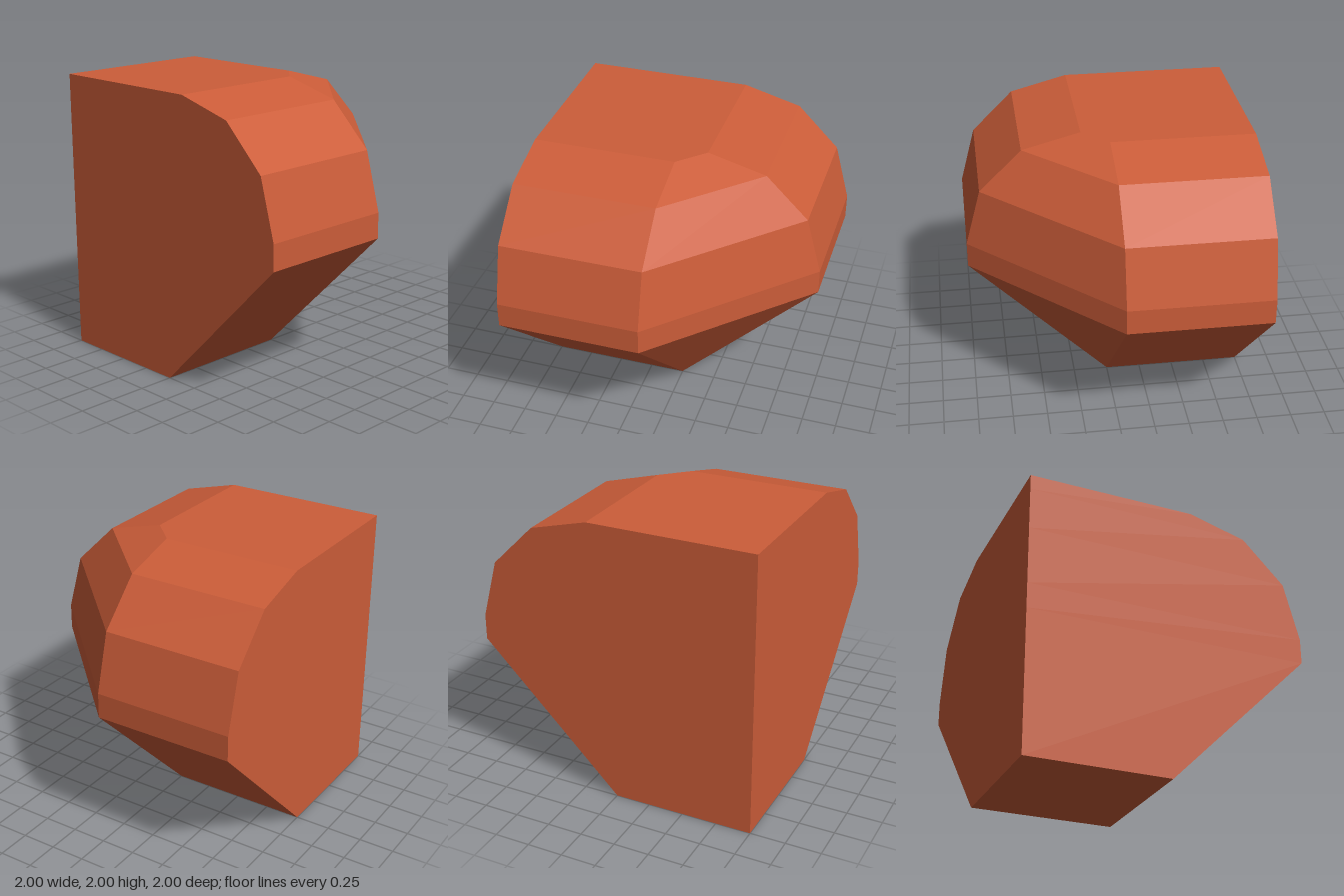
import * as THREE from 'three';

// Horizontal cross-section: reach r to the left side and the back, with a 45 degree cut corner
function section([r, y]) {
  return [[-1, 1], [r, 1], [r, 0], [0, -r], [-1, -r]].map(([x, z]) => new THREE.Vector3(x, y, z));
}

// Stack the sections into a closed, faceted solid
function stackedSolid(profile) {
  const rings = profile.map(section);
  const points = [];
  const tri = (a, b, c) => {
    const area = b.clone().sub(a).cross(c.clone().sub(a)).length();
    if (area > 1e-6) points.push(a, b, c);
  };
  for (let k = 0; k < rings.length - 1; k++) {
    const low = rings[k], high = rings[k + 1];
    for (let i = 0; i < low.length; i++) {
      const j = (i + 1) % low.length;
      tri(low[i], low[j], high[j]);
      tri(low[i], high[j], high[i]);
    }
  }
  // Bottom and top caps
  const bottom = rings[0], top = rings[rings.length - 1];
  for (let i = 1; i < bottom.length - 1; i++) {
    tri(bottom[0], bottom[i + 1], bottom[i]);
    tri(top[0], top[i], top[i + 1]);
  }
  const geometry = new THREE.BufferGeometry().setFromPoints(points);
  geometry.computeVertexNormals();
  return geometry;
}

export function createModel() {
  const terracotta = new THREE.MeshStandardMaterial({ color: 0xcc5d39 });
  terracotta.name = 'terracotta';

  // Sloped underside, short vertical rim, then a three-facet rounded shoulder (reach, height)
  const profile = [[0, 0], [1, 1]];
  const radius = 0.82;
  for (let i = 0; i <= 3; i++) {
    const a = (i * Math.PI) / 6;
    profile.push([1 - radius + radius * Math.cos(a), 2 - radius + radius * Math.sin(a)]);
  }

  const block = new THREE.Mesh(stackedSolid(profile), terracotta);
  block.name = 'roundedCornerBlock';

  const model = new THREE.Group();
  model.name = 'cornerPiece';
  model.add(block);
  return model;
}
